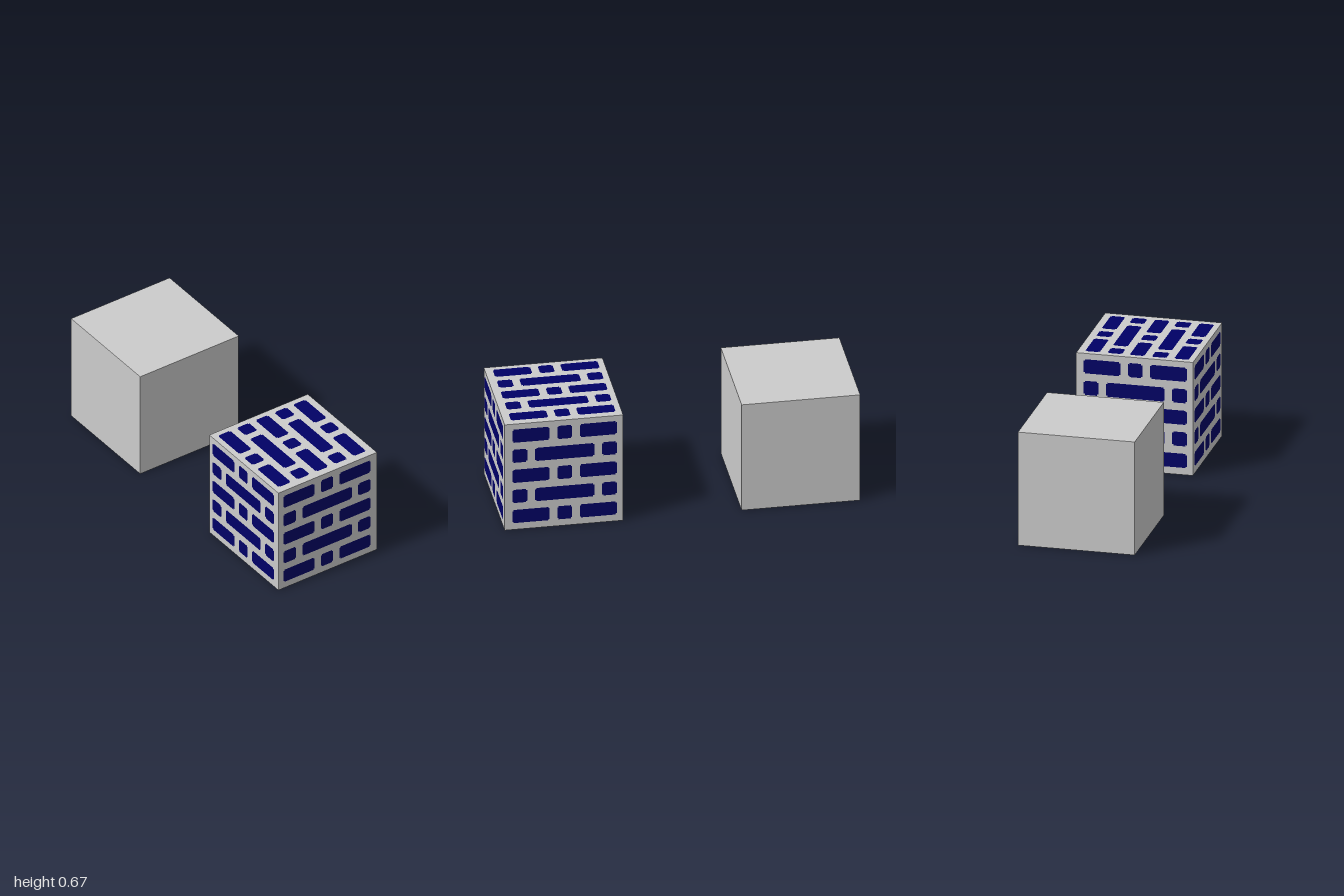
import * as THREE from 'three';
import { mergeGeometries } from 'three/addons/utils/BufferGeometryUtils.js';

const SIZE = 2 / 3, HALF = SIZE / 2;
const LIFT = 0.001;   // paint sits just proud of the cube
const NOTCH = 0.0076; // stepped brick corner
const BRICK_H = 0.083, ROW_STEP = 0.127;

// [centre, width] of the bricks in alternating courses
const LONG_SHORT_LONG = [[-0.1895, 0.21], [0, 0.083], [0.1895, 0.21]];
const SHORT_LONG_SHORT = [[-0.2525, 0.084], [0, 0.335], [0.2525, 0.084]];

// Flat rectangle with one square step cut out of each corner
function brick(cx, cy, w, h) {
  const x = w / 2, y = h / 2, n = NOTCH;
  const shape = new THREE.Shape([
    [-x + n, -y], [x - n, -y], [x - n, -y + n], [x, -y + n],
    [x, y - n], [x - n, y - n], [x - n, y], [-x + n, y],
    [-x + n, y - n], [-x, y - n], [-x, -y + n], [-x + n, -y + n],
  ].map(([px, py]) => new THREE.Vector2(px + cx, py + cy)));
  return new THREE.ShapeGeometry(shape);
}

// Five courses of bricks for one cube face
function brickPattern() {
  const bricks = [];
  for (let row = -2; row <= 2; row++) {
    const course = row % 2 === 0 ? LONG_SHORT_LONG : SHORT_LONG_SHORT;
    for (const [cx, w] of course) bricks.push(brick(cx, row * ROW_STEP, w, BRICK_H));
  }
  return mergeGeometries(bricks);
}

export function createModel() {
  const grey = new THREE.MeshStandardMaterial({ color: 0xcccccc });
  grey.name = 'light grey';
  const navy = new THREE.MeshStandardMaterial({ color: 0x000066 });
  navy.name = 'navy blue';

  const model = new THREE.Group();
  model.name = 'twoCubes';
  const cube = new THREE.BoxGeometry(SIZE, SIZE, SIZE);

  function addCube(name, z) {
    const group = new THREE.Group();
    group.name = name;
    group.position.set(0, HALF, z);
    const body = new THREE.Mesh(cube, grey);
    body.name = name + 'Body';
    group.add(body);
    model.add(group);
    return group;
  }

  addCube('plainCube', -SIZE);
  const brickCube = addCube('brickCube', SIZE);

  // Brick paint on all six faces: name, outward normal, rotation
  const q = Math.PI / 2;
  const faces = [
    ['front', [0, 0, 1], [0, 0, 0]],
    ['back', [0, 0, -1], [0, 2 * q, 0]],
    ['left', [1, 0, 0], [0, q, 0]],
    ['right', [-1, 0, 0], [0, -q, 0]],
    ['top', [0, 1, 0], [-q, 0, q]],
    ['bottom', [0, -1, 0], [q, 0, q]],
  ];
  const offset = [-0.0045, 0.0035, -0.0045]; // pattern is slightly off centre
  const pattern = brickPattern();
  for (const [name, normal, rotation] of faces) {
    const paint = new THREE.Mesh(pattern, navy);
    paint.name = name + 'Bricks';
    paint.rotation.set(...rotation);
    paint.position.set(...normal.map((n, i) => (n ? n * (HALF + LIFT) : offset[i])));
    brickCube.add(paint);
  }
  return model;
}
